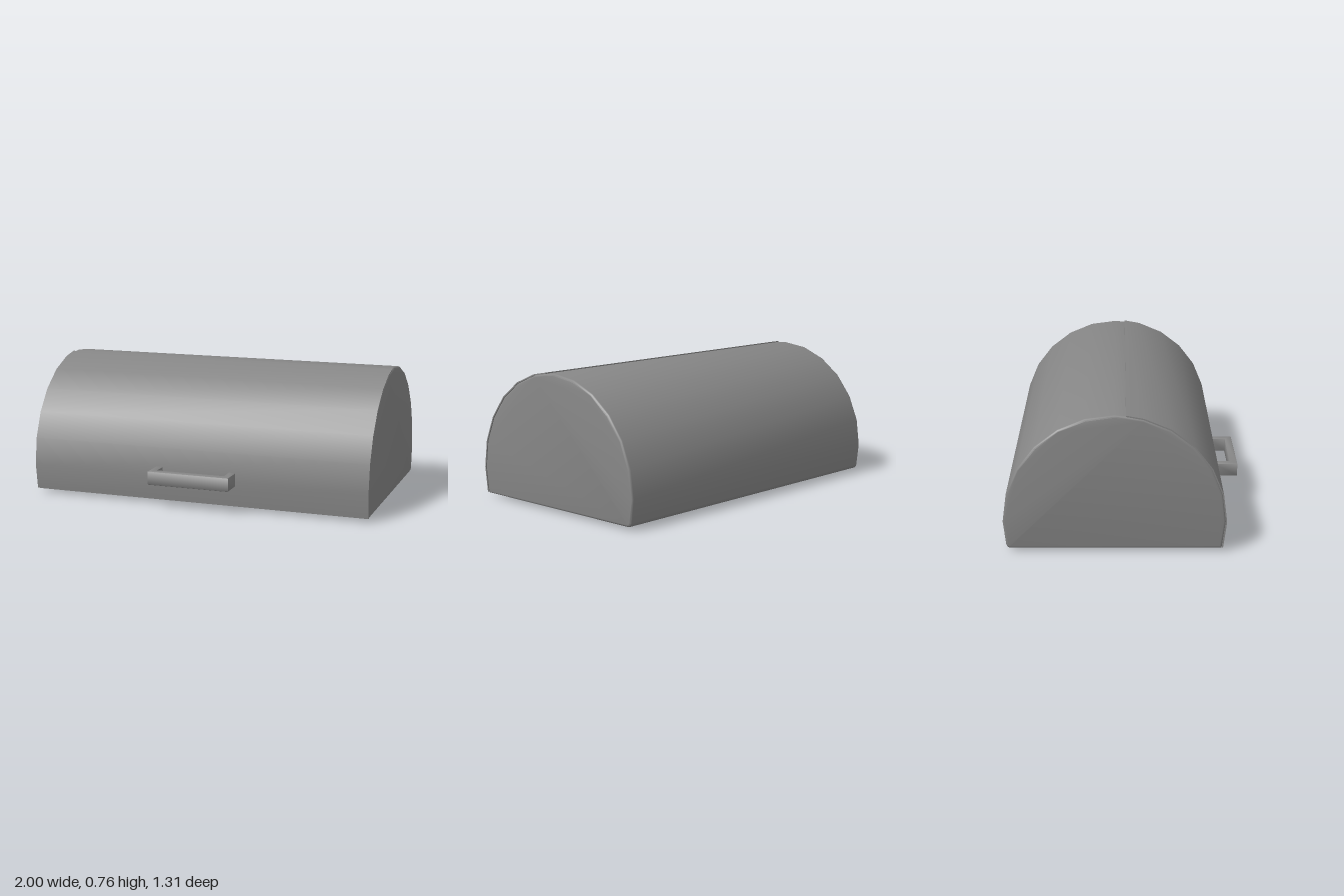
import * as THREE from 'three';
import { toCreasedNormals } from 'three/addons/utils/BufferGeometryUtils.js';

const CENTRE_Z = -0.06, CENTRE_Y = 0.17, BASE_Y = 0.019;
const material = new THREE.MeshStandardMaterial({ color: 0x868686 });

// Point on the side profile: x holds depth (z), y holds height
function arcPoint(radius, degrees) {
  const a = THREE.MathUtils.degToRad(degrees);
  return new THREE.Vector2(CENTRE_Z + radius * Math.cos(a), CENTRE_Y + radius * Math.sin(a));
}

// Extrude a side profile along x, centred, with total width given
function extrudeAcross(shape, width, bevel) {
  const geometry = new THREE.ExtrudeGeometry(shape, {
    depth: width - 2 * bevel, bevelEnabled: bevel > 0, bevelThickness: bevel,
    bevelSize: bevel, bevelOffset: -bevel, bevelSegments: 3,
  });
  geometry.translate(0, 0, -(width - 2 * bevel) / 2);
  geometry.rotateY(-Math.PI / 2);
  return toCreasedNormals(geometry, 0.6);
}

function addMesh(parent, name, geometry) {
  const mesh = new THREE.Mesh(geometry, material);
  mesh.name = name;
  parent.add(mesh);
  return mesh;
}

export function createModel() {
  const model = new THREE.Group();
  model.name = 'breadBox';

  // Body: faceted barrel cross-section, slightly recessed beneath the lid
  const outline = [arcPoint(0.592, -14.8)];
  for (let d = 0; d <= 75; d += 15) outline.push(arcPoint(0.592, d));
  outline.push(arcPoint(0.592, 84.2));
  for (let d = 90; d <= 180; d += 15) outline.push(arcPoint(0.595, d));
  const body = new THREE.Shape(outline);
  // Softened rear bottom edge
  body.lineTo(-0.64, BASE_Y + 0.022);
  body.quadraticCurveTo(-0.635, BASE_Y, -0.615, BASE_Y);
  body.closePath();
  addMesh(model, 'body', extrudeAcross(body, 1.999, 0.012));

  // Lid: thin curved shell covering the front half
  const angles = [-14.3, 0, 15, 30, 45, 60, 75, 84.2];
  const outer = angles.map((d) => arcPoint(0.598, d));
  const inner = angles.map((d) => arcPoint(0.591, d)).reverse();
  addMesh(model, 'lid', extrudeAcross(new THREE.Shape([...outer, ...inner]), 2, 0));

  // Handle: square-cornered U, drawn in plan and extruded upwards
  const plan = new THREE.Shape([
    [-0.238, -0.52], [-0.238, -0.656], [0.238, -0.656], [0.238, -0.52],
    [0.198, -0.52], [0.198, -0.612], [-0.198, -0.612], [-0.198, -0.52],
  ].map(([x, z]) => new THREE.Vector2(x, z)));
  const handle = new THREE.ExtrudeGeometry(plan, {
    depth: 0.07, bevelThickness: 0.004, bevelSize: 0.004, bevelOffset: -0.004, bevelSegments: 3,
  });
  handle.rotateX(-Math.PI / 2);
  addMesh(model, 'handle', toCreasedNormals(handle, 0.9)).position.y = 0.143;

  // Four round feet
  for (const x of [-0.8, 0.8]) {
    for (const z of [-0.463, 0.338]) {
      const foot = addMesh(model, 'foot', new THREE.CylinderGeometry(0.08, 0.08, 0.03, 32));
      foot.position.set(x, 0.015, z);
    }
  }
  return model;
}
